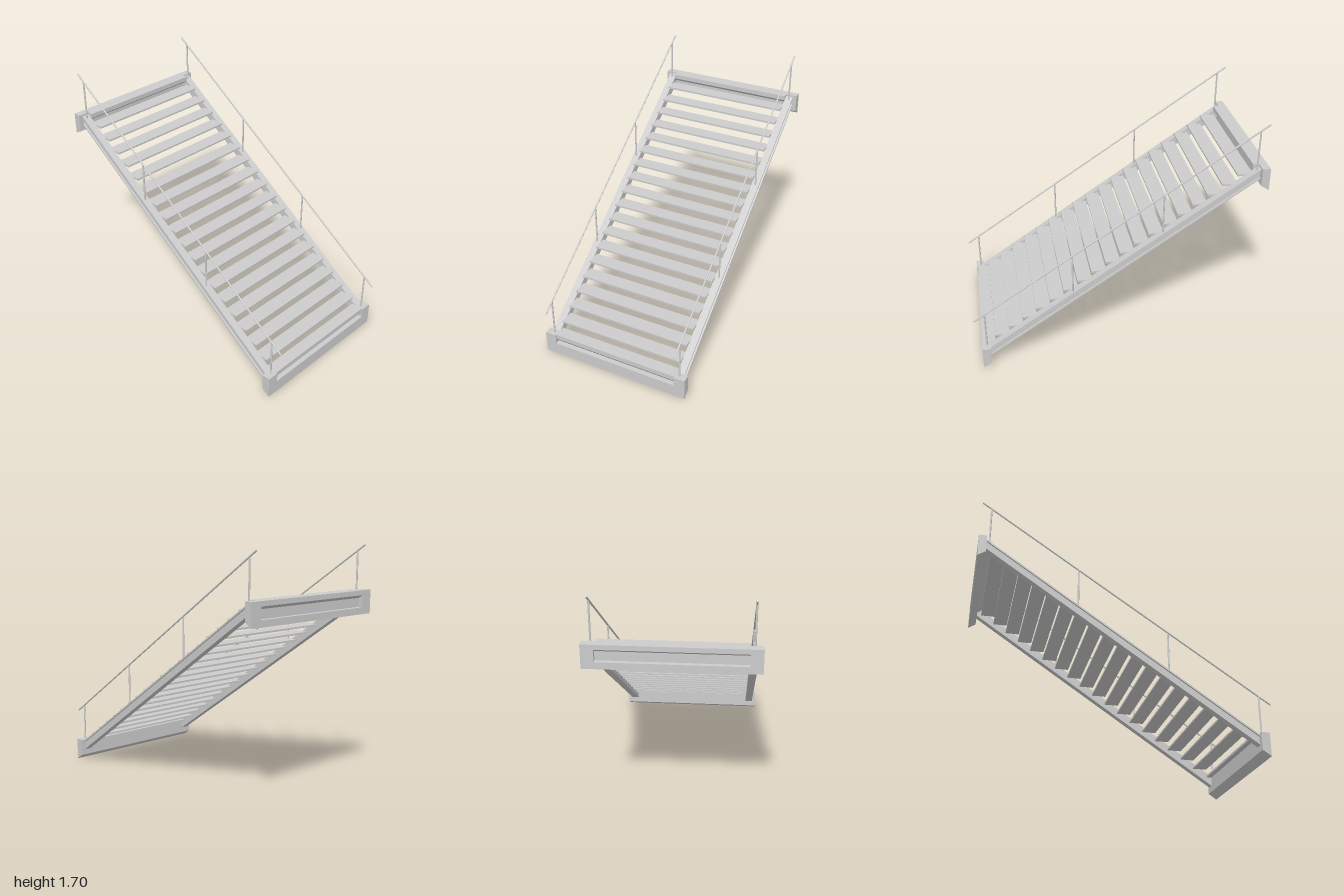
import * as THREE from 'three';

const material = new THREE.MeshStandardMaterial({ color: 0xcccccc, flatShading: true, side: THREE.DoubleSide });

// Side profile in x and y, extruded from z0 to z1
function prism(name, points, z0, z1) {
  const shape = new THREE.Shape(points.map(([x, y]) => new THREE.Vector2(x, y)));
  const geometry = new THREE.ExtrudeGeometry(shape, { depth: z1 - z0, bevelEnabled: false });
  geometry.translate(0, 0, z0);
  const mesh = new THREE.Mesh(geometry, material);
  mesh.name = name;
  return mesh;
}

// Round bar between two points
function bar(name, a, b, radius) {
  const start = new THREE.Vector3(...a), end = new THREE.Vector3(...b);
  const dir = end.clone().sub(start);
  const mesh = new THREE.Mesh(new THREE.CylinderGeometry(radius, radius, dir.length(), 8), material);
  mesh.position.copy(start).add(end).multiplyScalar(0.5);
  mesh.quaternion.setFromUnitVectors(new THREE.Vector3(0, 1, 0), dir.normalize());
  mesh.name = name;
  return mesh;
}

export function createModel() {
  const stair = new THREE.Group();
  stair.name = 'staircase';

  const X0 = -0.945, X1 = 0.892;
  const topY = x => 0.158 - 0.676 * (x - X1);
  const railY = x => 1.705 - 0.669 * (x + 0.985);
  // Sloping strip lying between two depths below the stringer's top line
  const strip = (d0, d1) => [
    [X0, topY(X0) - d1], [X1, topY(X1) - d1], [X1, topY(X1) - d0], [X0, topY(X0) - d0],
  ];

  // Treads, evenly rising
  const treads = new THREE.Group();
  treads.name = 'treads';
  for (let i = 0; i < 18; i++) {
    const x = -0.807 + i * 0.0977, y = 1.345 - i * 0.066;
    treads.add(prism('tread', [[x - 0.103, y - 0.013], [x, y - 0.013], [x, y], [x - 0.103, y]], -0.462, 0.462));
  }
  stair.add(treads);

  for (const s of [-1, 1]) {
    const side = new THREE.Group();
    side.name = s > 0 ? 'leftSide' : 'rightSide';
    const slab = (name, points, a, b) =>
      side.add(prism(name, points, Math.min(s * a, s * b), Math.max(s * a, s * b)));

    // Stringer: web with a flange along each edge
    slab('stringerWeb', strip(0.012, 0.06), 0.46, 0.5);
    slab('stringerTopFlange', strip(0, 0.012), 0.46, 0.513);
    slab('stringerBottomFlange', strip(0.06, 0.072), 0.46, 0.513);

    // End blocks of the two landing beams
    slab('upperBeamEnd', [[-1, 1.255], [X0, 1.29], [X0, 1.412], [-1, 1.412]], 0.46, 0.54);
    slab('lowerBeamEnd', [[X1, 0.045], [0.95, 0.005], [0.95, 0.165], [X1, 0.165]], 0.46, 0.54);

    // Handrail on four posts
    const z = s * 0.488;
    side.add(bar('handrail', [-0.985, railY(-0.985), z], [0.995, railY(0.995), z], 0.006));
    for (const x of [-0.925, -0.312, 0.302, 0.915]) {
      const foot = x > X1 ? 0.16 : topY(x) - 0.01;
      side.add(bar('post', [x, foot, z], [x, railY(x), z], 0.006));
    }
    stair.add(side);
  }

  // Upper landing beam with a projecting nosing and a recessed outer face
  stair.add(prism('upperBeam', [
    [-1, 1.255], [X0, 1.29], [X0, 1.35], [-0.906, 1.38], [-0.906, 1.412],
    [-1, 1.412], [-1, 1.38], [-0.97, 1.36], [-0.97, 1.3], [-1, 1.3],
  ], -0.46, 0.46));

  // Lower landing beam with a recess under the bottom step
  stair.add(prism('lowerBeam', [
    [X1, 0.045], [0.95, 0.005], [0.95, 0.095], [0.915, 0.095], [0.94, 0.13],
    [0.94, 0.165], [0.855, 0.165], [0.855, 0.15], [X1, 0.15],
  ], -0.46, 0.46));

  // Settle on the ground
  const box = new THREE.Box3().setFromObject(stair);
  stair.position.y = -box.min.y;
  const model = new THREE.Group();
  model.add(stair);
  return model;
}
